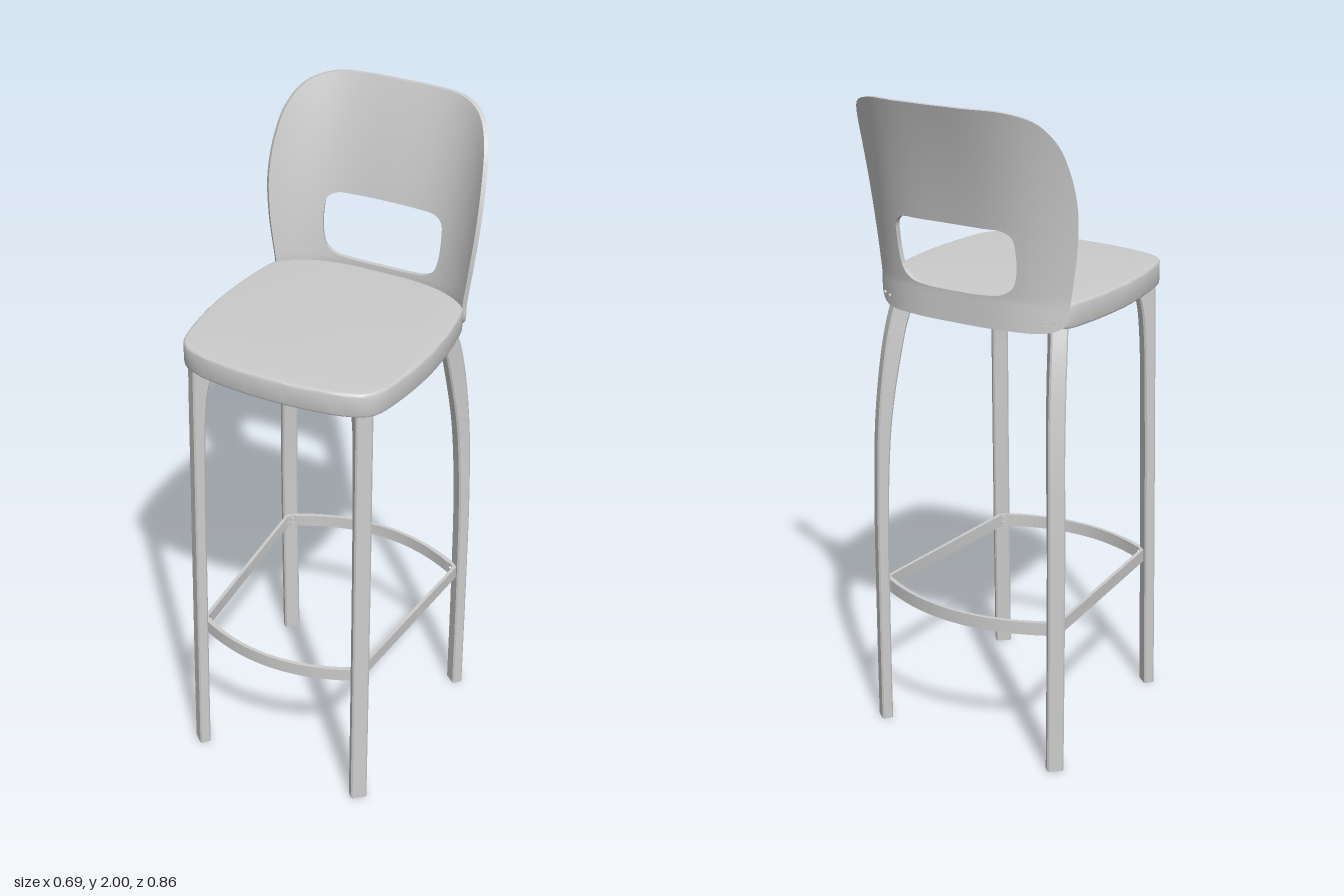
import * as THREE from 'three';
import { toCreasedNormals } from 'three/addons/utils/BufferGeometryUtils.js';

const V3 = (x, y, z) => new THREE.Vector3(x, y, z);
const material = new THREE.MeshStandardMaterial({ color: 0xcccccc });

function addMesh(parent, name, geometry) {
  const mesh = new THREE.Mesh(geometry, material);
  mesh.name = name;
  parent.add(mesh);
  return mesh;
}

// Skin between closed rings of points, with optional flat ends
function loft(rings, caps, crease) {
  const pos = [];
  const tri = (...pts) => pts.forEach((p) => pos.push(p.x, p.y, p.z));
  const n = rings[0].length;
  for (let i = 0; i < rings.length - 1; i++) {
    for (let j = 0; j < n; j++) {
      const k = (j + 1) % n;
      const [a, b, c, d] = [rings[i][j], rings[i][k], rings[i + 1][k], rings[i + 1][j]];
      tri(a, b, c);
      tri(a, c, d);
    }
  }
  if (caps) {
    const first = rings[0], last = rings[rings.length - 1];
    for (let j = 1; j < n - 1; j++) {
      tri(first[0], first[j + 1], first[j]);
      tri(last[0], last[j], last[j + 1]);
    }
  }
  const geo = new THREE.BufferGeometry();
  geo.setAttribute('position', new THREE.Float32BufferAttribute(pos, 3));
  return toCreasedNormals(geo, crease);
}

// Closed smooth outline mirrored about x = 0, from a half listed centre to centre
function mirroredOutline(half, count) {
  const left = half.slice(1, -1).reverse().map(([x, y]) => [-x, y]);
  const pts = [...half, ...left].map(([x, y]) => V3(x, y, 0));
  return new THREE.CatmullRomCurve3(pts, true).getSpacedPoints(count).slice(0, count);
}

// Curved sheet of the backrest: depth z at a given x and y
function backZ(x, y) {
  const t = Math.max(0, y - 1.45);
  return -0.297 - 0.11 * t - 0.223 * t * t + 0.12 * Math.pow(Math.abs(x) / 0.342, 3.4);
}
function backNormal(x, y) {
  const e = 0.002;
  return V3(
    -(backZ(x + e, y) - backZ(x - e, y)) / (2 * e),
    -(backZ(x, y + e) - backZ(x, y - e)) / (2 * e), 1).normalize();
}

function backrestGeometry() {
  const count = 144, steps = 12, halfThick = 0.007;
  const outer = mirroredOutline([
    [0, 1.362], [0.15, 1.362], [0.28, 1.364], [0.308, 1.385], [0.315, 1.45], [0.334, 1.6], [0.342, 1.72],
    [0.336, 1.83], [0.32, 1.91], [0.285, 1.967], [0.22, 1.995], [0.1, 2], [0, 2]], count);
  const hole = mirroredOutline([
    [0, 1.455], [0.1, 1.457], [0.15, 1.465], [0.18, 1.488], [0.193, 1.53], [0.196, 1.59],
    [0.19, 1.635], [0.165, 1.653], [0.1, 1.656], [0, 1.657]], count);
  const ring = (k, side) => outer.map((o, j) => {
    const p = hole[j].clone().lerp(o, k / steps);
    p.z = backZ(p.x, p.y);
    const n = backNormal(p.x, p.y).multiplyScalar(side * halfThick);
    n.y = 0;
    return p.add(n);
  });
  const rings = [];
  for (let k = steps; k >= 0; k--) rings.push(ring(k, 1));
  for (let k = 0; k <= steps; k++) rings.push(ring(k, -1));
  rings.push(rings[0]);
  return loft(rings, false, 0.7);
}

function seatGeometry() {
  const outline = mirroredOutline([
    [0, -0.412], [0.12, -0.406], [0.22, -0.39], [0.28, -0.366], [0.308, -0.335], [0.332, -0.23],
    [0.344, -0.09], [0.34, 0.03], [0.33, 0.12], [0.312, 0.2], [0.27, 0.237], [0.2, 0.27],
    [0.1, 0.288], [0, 0.29]], 120);
  const shape = new THREE.Shape(outline.map((p) => new THREE.Vector2(p.x, p.y)));
  const bevel = 0.008;
  const geo = new THREE.ExtrudeGeometry(shape, {
    depth: 0.074 - 2 * bevel, bevelSize: bevel, bevelOffset: -bevel, bevelThickness: bevel, bevelSegments: 3 });
  geo.rotateX(-Math.PI / 2).translate(0, 1.367 + bevel, 0);
  return toCreasedNormals(geo, 0.6);
}

// Leg from stations [x, y, z, depth] along the middle of its outer face
function legGeometry(stations, side, front) {
  const path = new THREE.CatmullRomCurve3(stations.map(([x, y, z]) => V3(x * side, y, z)));
  const depths = new THREE.CatmullRomCurve3(stations.map((s) => V3(s[3], s[1], 0)));
  const d = V3(0.65 * side, 0, 0.76 * front), t = V3(d.z, 0, -d.x);
  const w = 0.025, c = 0.005, steps = 24;
  const rings = [];
  for (let i = 0; i <= steps; i++) {
    const p = path.getPoint(i / steps), h = depths.getPoint(i / steps).x;
    rings.push([
      [0, c - w], [0, w - c], [-c, w], [c - h, w], [-h, w - c], [-h, c - w], [c - h, -w], [-c, -w],
    ].map(([u, v]) => p.clone().addScaledVector(d, u).addScaledVector(t, v)));
  }
  return loft(rings, true, 0.4);
}

// Flat band running round the inside of the legs, bowed at front and back
function footrestGeometry() {
  const trace = (path, g) => {
    path.moveTo(-0.272 + g, -0.345 + g);
    path.quadraticCurveTo(-0.272 + g, -0.362 + g, -0.25 + g, -0.37 + g);
    path.quadraticCurveTo(0, -0.49 + g, 0.25 - g, -0.37 + g);
    path.quadraticCurveTo(0.272 - g, -0.362 + g, 0.272 - g, -0.345 + g);
    path.lineTo(0.31 - g, 0.235 - g);
    path.quadraticCurveTo(0.31 - g, 0.252 - g, 0.285 - g, 0.26 - g);
    path.quadraticCurveTo(0, 0.41 - g, -0.285 + g, 0.26 - g);
    path.quadraticCurveTo(-0.31 + g, 0.252 - g, -0.31 + g, 0.235 - g);
    path.closePath();
    return path;
  };
  const shape = trace(new THREE.Shape(), 0);
  shape.holes.push(trace(new THREE.Path(), 0.011));
  const geo = new THREE.ExtrudeGeometry(shape, { depth: 0.04, bevelEnabled: false, curveSegments: 24 });
  geo.rotateX(-Math.PI / 2).translate(0, 0.436, 0);
  return toCreasedNormals(geo, 0.5);
}

function addScrew(parent, name, position, direction) {
  const screw = addMesh(parent, name, new THREE.CylinderGeometry(0.005, 0.006, 0.008, 12));
  screw.position.copy(position);
  screw.quaternion.setFromUnitVectors(V3(0, 1, 0), direction);
}

export function createModel() {
  const model = new THREE.Group();
  model.name = 'barStool';

  addMesh(model, 'seat', seatGeometry());
  addMesh(model, 'backrest', backrestGeometry());
  addMesh(model, 'footrest', footrestGeometry());

  // Front legs lean back and flare under the seat; rear legs curve inward
  const frontLeg = [
    [0.289, 0, 0.393, 0.034], [0.286, 0.45, 0.38, 0.034], [0.282, 0.9, 0.367, 0.034],
    [0.279, 1.2, 0.359, 0.038], [0.278, 1.3, 0.356, 0.048], [0.277, 1.37, 0.354, 0.072]];
  const rearLeg = [
    [0.321, 0, -0.275, 0.034], [0.321, 0.4, -0.275, 0.034], [0.319, 0.75, -0.274, 0.036],
    [0.312, 1.0, -0.268, 0.042], [0.301, 1.2, -0.246, 0.052], [0.292, 1.3, -0.226, 0.055],
    [0.282, 1.37, -0.206, 0.06]];

  for (const side of [1, -1]) {
    const hand = side > 0 ? 'Left' : 'Right';
    addMesh(model, 'front' + hand + 'Leg', legGeometry(frontLeg, side, 1));
    addMesh(model, 'rear' + hand + 'Leg', legGeometry(rearLeg, side, -1));

    // Screws holding the backrest to the seat
    for (const x of [0.255, 0.285]) {
      const n = backNormal(x * side, 1.39).negate();
      addScrew(model, 'backrestScrew', V3(x * side, 1.39, backZ(x, 1.39)).addScaledVector(n, 0.008), n);
    }
    // Screws holding the footrest to the legs
    for (const [x, z, front] of [[0.252, 0.347, 1], [0.287, -0.238, -1]]) {
      const n = V3(-0.65 * side, 0, -0.76 * front).normalize();
      for (const y of [0.447, 0.465]) addScrew(model, 'footrestScrew', V3(x * side, y, z), n);
    }
  }
  return model;
}
